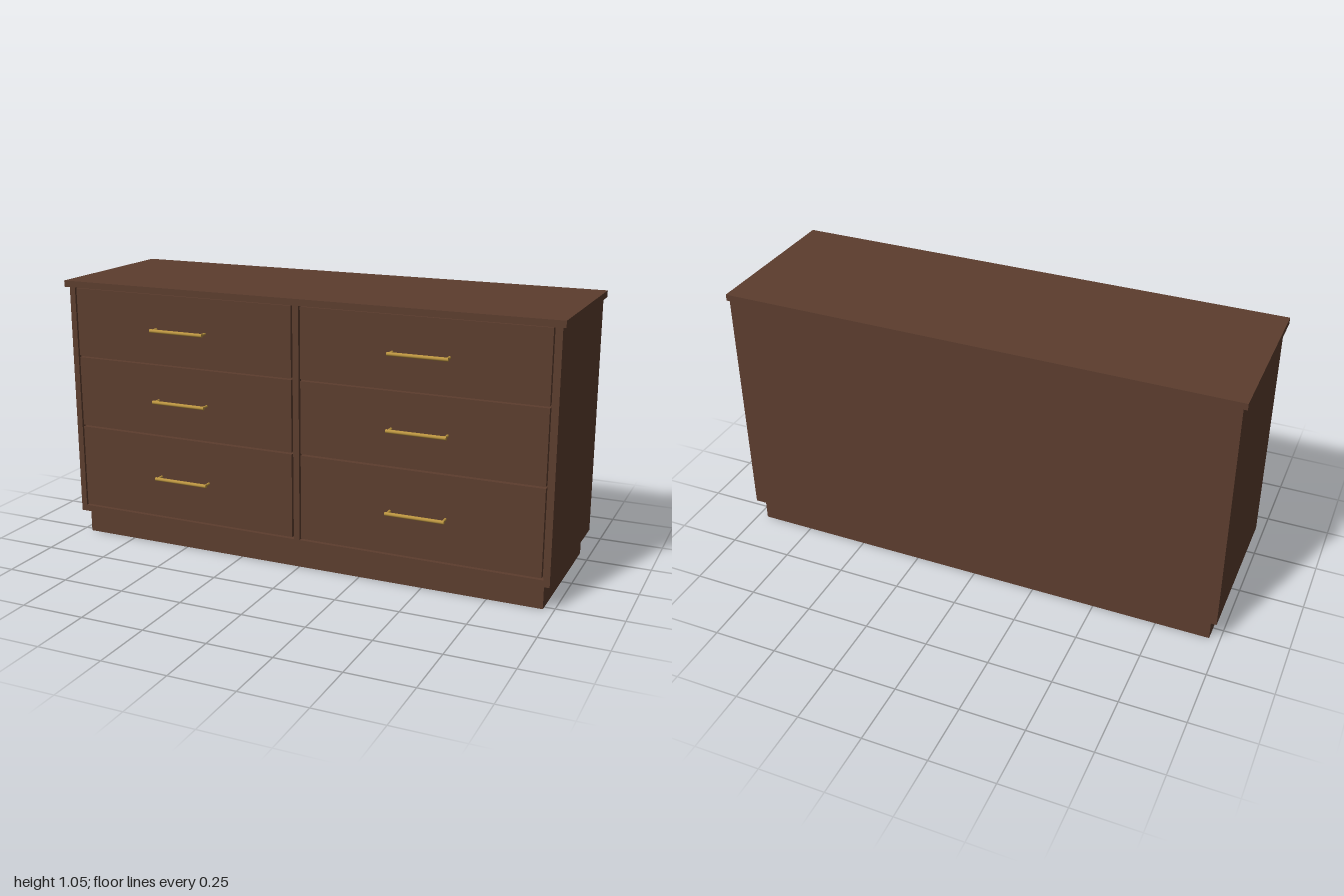
import * as THREE from 'three';

export function createModel() {
  const model = new THREE.Group();
  model.name = 'dresser';
  const wood = new THREE.MeshStandardMaterial({ color: 0x5c3d2e });
  wood.name = 'walnut wood';
  const brass = new THREE.MeshStandardMaterial({ color: 0xb8923f });
  brass.name = 'brass';

  // Box given by its minimum and maximum on each axis
  function box(name, x0, x1, y0, y1, z0, z1, parent = model) {
    const mesh = new THREE.Mesh(new THREE.BoxGeometry(x1 - x0, y1 - y0, z1 - z0), wood);
    mesh.position.set((x0 + x1) / 2, (y0 + y1) / 2, (z0 + z1) / 2);
    mesh.name = name;
    parent.add(mesh);
  }

  function rod(name, radius, length, x, y, z, axis, parent) {
    const geometry = new THREE.CylinderGeometry(radius, radius, length, 16);
    if (axis === 'x') geometry.rotateZ(Math.PI / 2);
    else geometry.rotateX(Math.PI / 2);
    const mesh = new THREE.Mesh(geometry, brass);
    mesh.position.set(x, y, z);
    mesh.name = name;
    parent.add(mesh);
  }

  const back = -0.335, front = 0.294, recess = 0.274;

  // Carcass: plinth, core set back behind the fronts, face frame and top
  box('plinth', -0.96, 0.96, 0, 0.095, -0.31, 0.27);
  box('carcassCore', -0.962, 0.962, 0.12, 1.03, back, recess);
  box('bottomPanel', -0.962, 0.962, 0.095, 0.12, back, front);
  box('centreDivider', -0.012, 0.012, 0.12, 1.03, recess, front);
  box('leftSide', 0.962, 0.986, 0.095, 1.03, back, front);
  box('rightSide', -0.986, -0.962, 0.095, 1.03, back, front);
  box('topPanel', -1, 1, 1.03, 1.055, back, 0.309);

  // Two columns of three drawers, each with a bar handle
  const rows = [[0.127, 0.459], [0.467, 0.747], [0.755, 1.025]];
  for (const side of [-1, 1]) {
    rows.forEach(([y0, y1], i) => {
      const drawer = new THREE.Group();
      drawer.name = `${side > 0 ? 'left' : 'right'}Drawer${i + 1}`;
      model.add(drawer);
      const cx = side * 0.487, cy = (y0 + y1) / 2;
      box('drawerFront', cx - 0.468, cx + 0.468, y0, y1, recess, front, drawer);
      rod('handleBar', 0.007, 0.228, cx, cy, 0.328, 'x', drawer);
      for (const s of [-1, 1]) {
        rod('handlePost', 0.005, 0.036, cx + s * 0.107, cy, 0.31, 'z', drawer);
      }
    });
  }
  return model;
}
